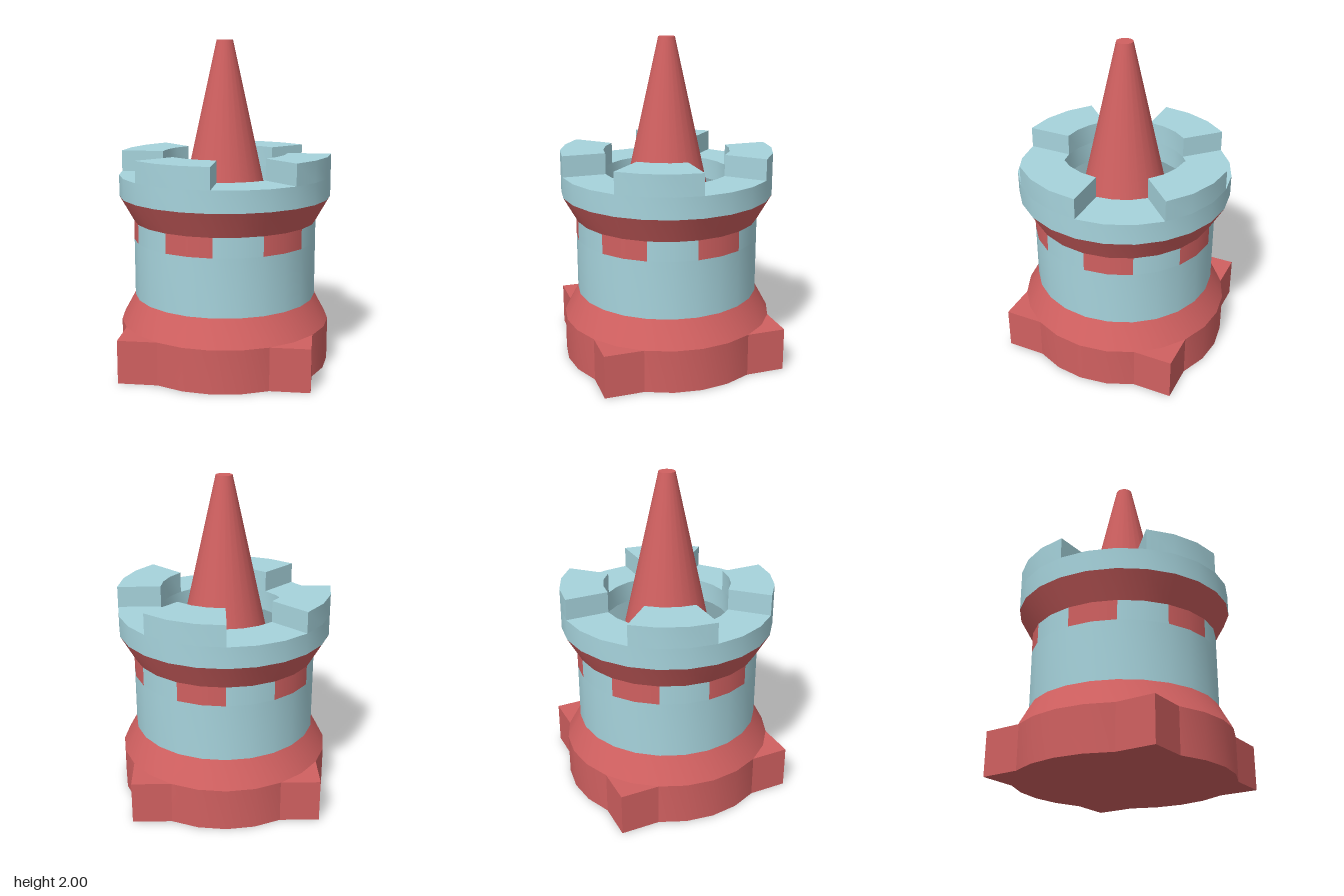
import * as THREE from 'three';
import { toCreasedNormals } from 'three/addons/utils/BufferGeometryUtils.js';

const SIDES = 24;
const STEP = (Math.PI * 2) / SIDES;
const OUTER = 0.655, BODY = 0.568, INNER = 0.39;

export function createModel() {
  const model = new THREE.Group();
  model.name = 'castleTower';

  const red = new THREE.MeshStandardMaterial({ color: 0xd06060 });
  const blue = new THREE.MeshStandardMaterial({ color: 0xa6d3dc });
  const darkBlue = new THREE.MeshStandardMaterial({ color: 0x7a99a0 });

  const add = (name, geometry, material, parent = model) => {
    const mesh = new THREE.Mesh(geometry, material);
    mesh.name = name;
    parent.add(mesh);
    return mesh;
  };

  // Ring of revolution from [radius, height] pairs, with sharp profile edges
  const turned = (profile) => toCreasedNormals(
    new THREE.LatheGeometry(profile.map(([r, y]) => new THREE.Vector2(r, y)), SIDES), 0.4);

  // Solid slice of a ring, rising from y0 by the given height
  const ringSlice = (start, count, y0, height) => {
    const points = [];
    const polar = (r, i) => points.push(
      new THREE.Vector2(r * Math.sin(i * STEP), -r * Math.cos(i * STEP)));
    for (let i = 0; i <= count; i++) polar(OUTER, start + i);
    for (let i = count; i >= 0; i--) polar(INNER, start + i);
    const geometry = new THREE.ExtrudeGeometry(new THREE.Shape(points),
      { depth: height, bevelEnabled: false });
    geometry.rotateX(-Math.PI / 2).translate(0, y0, 0);
    return toCreasedNormals(geometry, 0.4);
  };

  // Base: square plinth crossed with a round foot that tapers to the wall
  add('plinth', new THREE.BoxGeometry(1.134, 0.265, 1.134), red).position.y = 0.1325;
  add('foot', turned([[0, 0], [OUTER, 0], [OUTER, 0.265], [BODY, 0.425]]), red);

  // Wall, topped by a band of alternating red and blue panels
  add('wall', turned([[BODY, 0.425], [BODY, 0.78]]), blue);
  const band = new THREE.Group();
  band.name = 'panelBand';
  model.add(band);
  for (let i = 0; i < 12; i++) {
    const panel = new THREE.CylinderGeometry(
      BODY, BODY, 0.12, 2, 1, true, i * 2 * STEP, 2 * STEP);
    add(i % 2 ? 'redPanel' : 'bluePanel', panel, i % 2 ? red : blue, band).position.y = 0.84;
  }

  // Flared collar and parapet
  add('collar', turned([[BODY, 0.9], [OUTER, 1.055]]), red);
  add('parapet', turned([[OUTER, 1.055], [OUTER, 1.185], [INNER, 1.185], [INNER, 1.055]]), blue);
  add('parapetFloor', new THREE.CircleGeometry(INNER, SIDES).rotateX(-Math.PI / 2), darkBlue)
    .position.y = 1.055;

  // Four battlements, each an eighth of the ring
  for (let i = 0; i < 4; i++) {
    add('battlement', ringSlice(i * 6 + 3, 3, 1.185, 0.13), blue);
  }

  // Tapered spire with a blunt tip
  add('spire', new THREE.CylinderGeometry(0.05, 0.26, 0.945, SIDES), red).position.y = 1.5275;

  return model;
}
